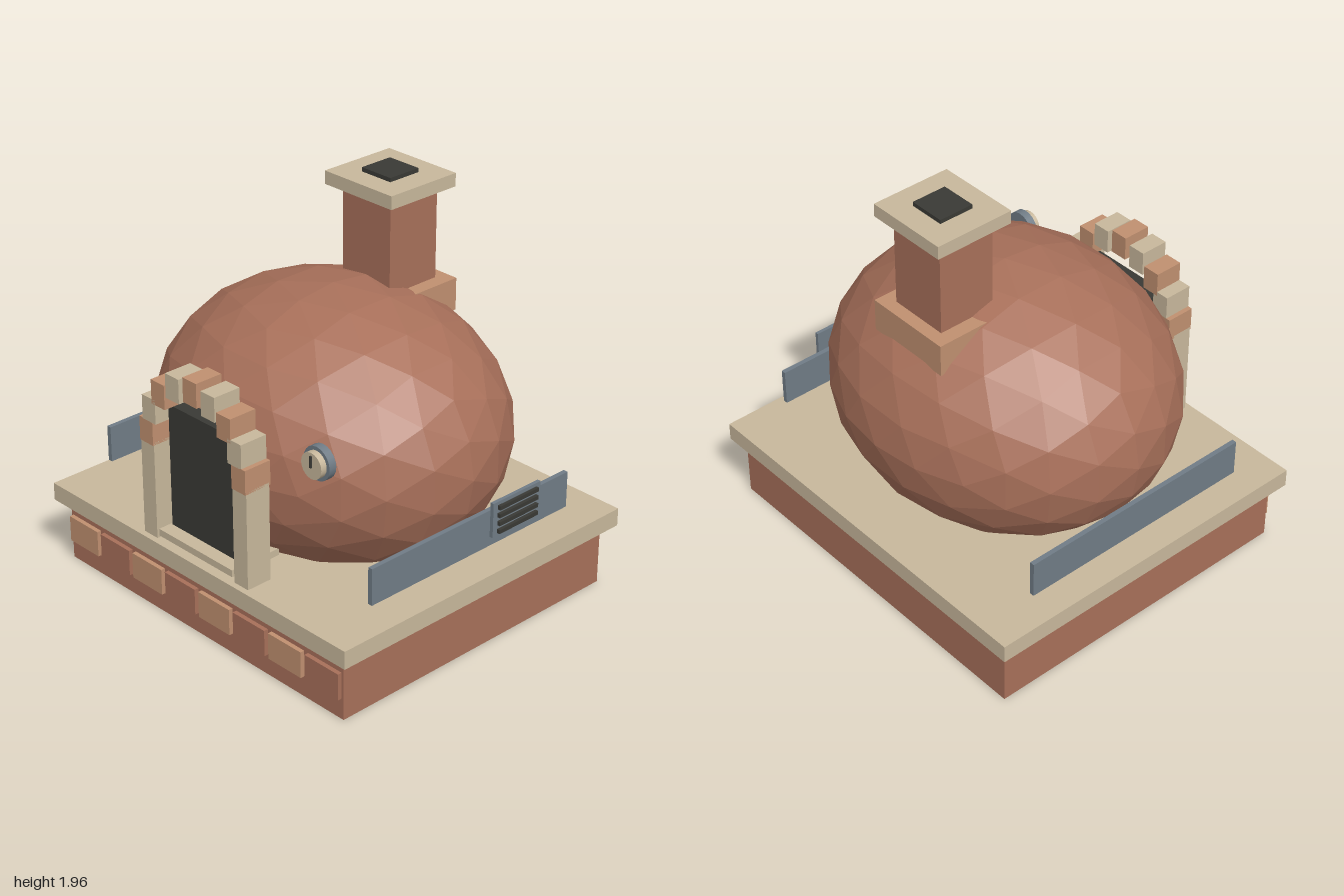
import * as THREE from 'three';

const material = (name, color) => Object.assign(new THREE.MeshStandardMaterial({ color }), { name });

// Recursively split icosahedron, stretched to an ellipsoid with flat facets
function facetedEllipsoid(rx, ry, rz, levels) {
  const p = new THREE.IcosahedronGeometry(1, 0).getAttribute('position');
  let points = [];
  for (let i = 0; i < p.count; i++) points.push(new THREE.Vector3().fromBufferAttribute(p, i));
  const middle = (a, b) => a.clone().add(b).normalize();
  for (let level = 0; level < levels; level++) {
    const next = [];
    for (let i = 0; i < points.length; i += 3) {
      const [a, b, c] = points.slice(i, i + 3);
      const ab = middle(a, b), bc = middle(b, c), ca = middle(c, a);
      next.push(a, ab, ca, ab, b, bc, ca, bc, c, ab, bc, ca);
    }
    points = next;
  }
  const geometry = new THREE.BufferGeometry().setFromPoints(points);
  geometry.scale(rx, ry, rz);
  geometry.computeVertexNormals();
  return geometry;
}

export function createModel() {
  const model = new THREE.Group();
  model.name = 'brickOven';
  const terracotta = material('terracotta', 0xa8705a);
  const copper = material('copperBrick', 0xc09070);
  const tan = material('tanStone', 0xc8b89c);
  const steel = material('blueSteel', 0x707c86);
  const dark = material('darkIron', 0x3a3a35);

  const add = (name, geometry, mat) => {
    const mesh = new THREE.Mesh(geometry, mat);
    mesh.name = name;
    model.add(mesh);
    return mesh;
  };
  // Box given by its extents on each axis
  const box = (name, mat, [x0, x1], [y0, y1], [z0, z1]) => {
    const mesh = add(name, new THREE.BoxGeometry(x1 - x0, y1 - y0, z1 - z0), mat);
    mesh.position.set((x0 + x1) / 2, (y0 + y1) / 2, (z0 + z1) / 2);
    return mesh;
  };

  // Plinth and worktop
  box('base', terracotta, [-0.828, 0.828], [0, 0.31], [-0.94, 0.94]);
  box('worktop', tan, [-0.88, 0.88], [0.31, 0.4], [-1, 1]);

  // Row of bricks along the door side of the base
  for (let i = 0; i < 8; i++) {
    const z = (i - 3.5) * 0.235;
    box('baseBrick', i % 2 ? terracotta : copper, [-0.85, -0.82], [0.105, 0.237], [z - 0.105, z + 0.105]);
  }

  // Dome
  add('dome', facetedEllipsoid(0.77, 0.66, 0.895, 2), terracotta).position.y = 0.84;

  // Door, hearth and arch
  box('door', dark, [-0.78, -0.695], [0.43, 1.07], [-0.24, 0.24]);
  box('hearth', tan, [-0.85, -0.57], [0.42, 0.455], [-0.25, 0.25]);
  for (const side of [-1, 1]) {
    const z = side * 0.31;
    box('archPost', tan, [-0.85, -0.717], [0.4, 0.89], [z - 0.045, z + 0.045]);
  }
  for (let i = 0; i < 9; i++) {
    const angle = (i * Math.PI) / 8;
    const y = 0.937 + 0.303 * Math.sin(angle), z = 0.31 * Math.cos(angle);
    box('archBrick', i % 2 ? tan : copper, [-0.855, -0.71], [y - 0.06, y + 0.06], [z - 0.045, z + 0.045]);
  }

  // Chimney
  box('chimneyCollar', copper, [0.145, 0.565], [1.26, 1.42], [-0.225, 0.225]);
  box('chimneyStack', terracotta, [0.205, 0.5], [1.25, 1.87], [-0.153, 0.153]);
  box('chimneyCap', tan, [0.15, 0.557], [1.87, 1.935], [-0.213, 0.213]);
  box('flue', dark, [0.263, 0.441], [1.935, 1.955], [-0.091, 0.091]);

  // Steel side panels
  for (const z of [-0.887, 0.887]) {
    box('sidePanel', steel, [-0.623, 0.623], [0.47, 0.652], [z - 0.012, z + 0.012]);
  }

  // Vent with slats
  box('ventPlate', steel, [0.067, 0.373], [0.55, 0.723], [0.937, 0.955]);
  for (let i = 0; i < 4; i++) {
    const y = 0.576 + i * 0.04;
    box('ventSlat', dark, [0.095, 0.346], [y - 0.01, y + 0.01], [0.952, 0.971]);
  }

  // Temperature gauge facing the door side
  const disc = (name, mat, radius, x0, x1) => {
    const geometry = new THREE.CylinderGeometry(radius, radius, x1 - x0, 20);
    geometry.rotateZ(Math.PI / 2);
    add(name, geometry, mat).position.set((x0 + x1) / 2, 1.062, 0.602);
  };
  disc('gaugeBody', steel, 0.081, -0.667, -0.628);
  disc('gaugeFace', tan, 0.063, -0.698, -0.66);
  box('gaugeNeedle', dark, [-0.706, -0.697], [1.055, 1.11], [0.596, 0.608]);

  return model;
}
